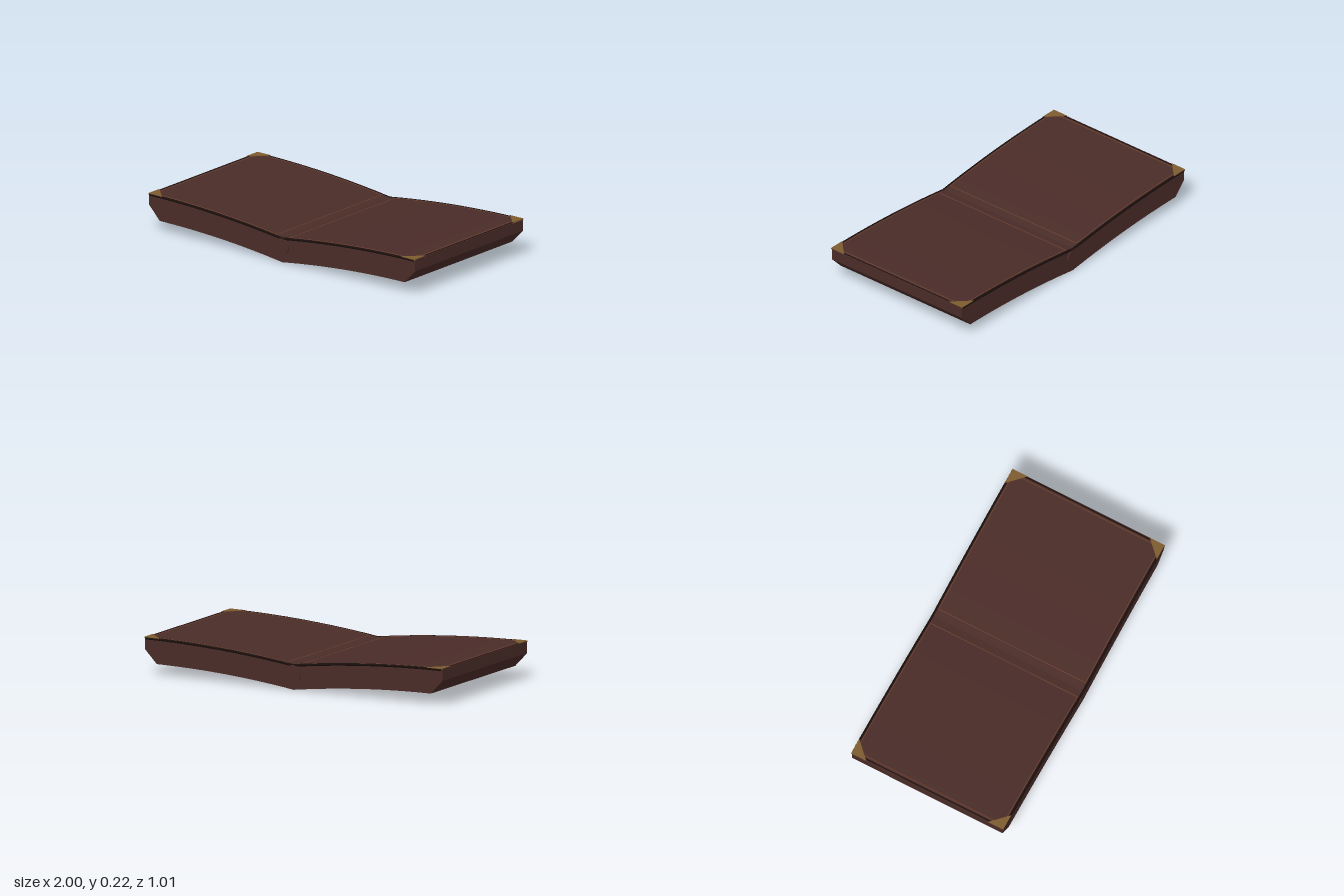
import * as THREE from 'three';

const HALF = 0.497; // half depth of the body
const topY = (x) => 0.15 + 0.068 * (1 - (1 - Math.abs(x)) ** 2);
const bottomY = (x) => 0.065 * (1 - (1 - Math.abs(x) / 0.92) ** 2);

const leather = new THREE.MeshStandardMaterial({ color: 0x4a2c28 });
const piping = new THREE.MeshStandardMaterial({ color: 0x1a0f0c });
const stitching = new THREE.MeshStandardMaterial({ color: 0x7a4632 });
const brass = new THREE.MeshStandardMaterial({ color: 0x7d5c30 });

function add(parent, name, geometry, material) {
  const mesh = new THREE.Mesh(geometry, material);
  mesh.name = name;
  parent.add(mesh);
  return mesh;
}

// Points that follow the curved top between two x positions
function topCurve(x0, x1, z, lift, n = 16) {
  const points = [];
  for (let i = 0; i <= n; i++) {
    const x = x0 + ((x1 - x0) * i) / n;
    points.push(new THREE.Vector3(x, topY(x) + lift, z));
  }
  return new THREE.CatmullRomCurve3(points);
}

export function createModel() {
  const group = new THREE.Group();
  group.name = 'foldingCase';

  // Body: gull-wing section with chamfered lower ends
  const section = new THREE.Shape();
  const N = 32;
  for (let i = 0; i <= N; i++) {
    const x = -0.92 + (1.84 * i) / N;
    if (i === 0) section.moveTo(x, bottomY(x));
    else section.lineTo(x, bottomY(x));
  }
  section.lineTo(1, 0.148);
  for (let i = 0; i <= N; i++) {
    const x = 1 - (2 * i) / N;
    section.lineTo(x, topY(x));
  }
  section.lineTo(-1, 0.148);
  const body = new THREE.ExtrudeGeometry(section, { depth: 2 * HALF, bevelEnabled: false });
  body.translate(0, 0, -HALF);
  add(group, 'body', body, leather);

  // Hinge pin running through the fold
  const pin = new THREE.CylinderGeometry(0.051, 0.051, 1.01, 32);
  pin.rotateX(Math.PI / 2);
  pin.translate(0, 0.097, 0);
  add(group, 'hingePin', pin, leather);

  for (const side of [-1, 1]) {
    const wing = new THREE.Group();
    wing.name = side > 0 ? 'leftWing' : 'rightWing';
    group.add(wing);

    for (const end of [-1, 1]) {
      // Dark piping and stitching along the long edges
      add(wing, 'edgePiping',
        new THREE.TubeGeometry(topCurve(0, side * 0.995, end * 0.497, -0.005), 24, 0.008, 8), piping);
      add(wing, 'edgeStitching',
        new THREE.TubeGeometry(topCurve(side * 0.05, side * 0.975, end * 0.485, 0), 24, 0.002, 6), stitching);

      // Triangular metal corner
      const corner = new THREE.Shape([
        new THREE.Vector2(side, end * 0.503),
        new THREE.Vector2(side * 0.9, end * 0.503),
        new THREE.Vector2(side, end * 0.403),
      ]);
      const plate = new THREE.ExtrudeGeometry(corner, { depth: 0.008, bevelEnabled: false });
      plate.rotateX(Math.PI / 2);
      plate.translate(0, 0.222, 0);
      add(wing, 'cornerPlate', plate, brass);
    }

    // Cross stitching beside the fold and near the outer edge
    for (const x of [0.05, 0.975]) {
      const seam = new THREE.CylinderGeometry(0.002, 0.002, 0.97, 6);
      seam.rotateX(Math.PI / 2);
      seam.translate(side * x, topY(x), 0);
      add(wing, 'crossStitching', seam, stitching);
    }

    // Piping along the outer edge
    const rim = new THREE.CylinderGeometry(0.005, 0.005, 0.99, 8);
    rim.rotateX(Math.PI / 2);
    rim.translate(side * 0.991, 0.2155, 0);
    add(wing, 'outerPiping', rim, piping);
  }
  return group;
}
